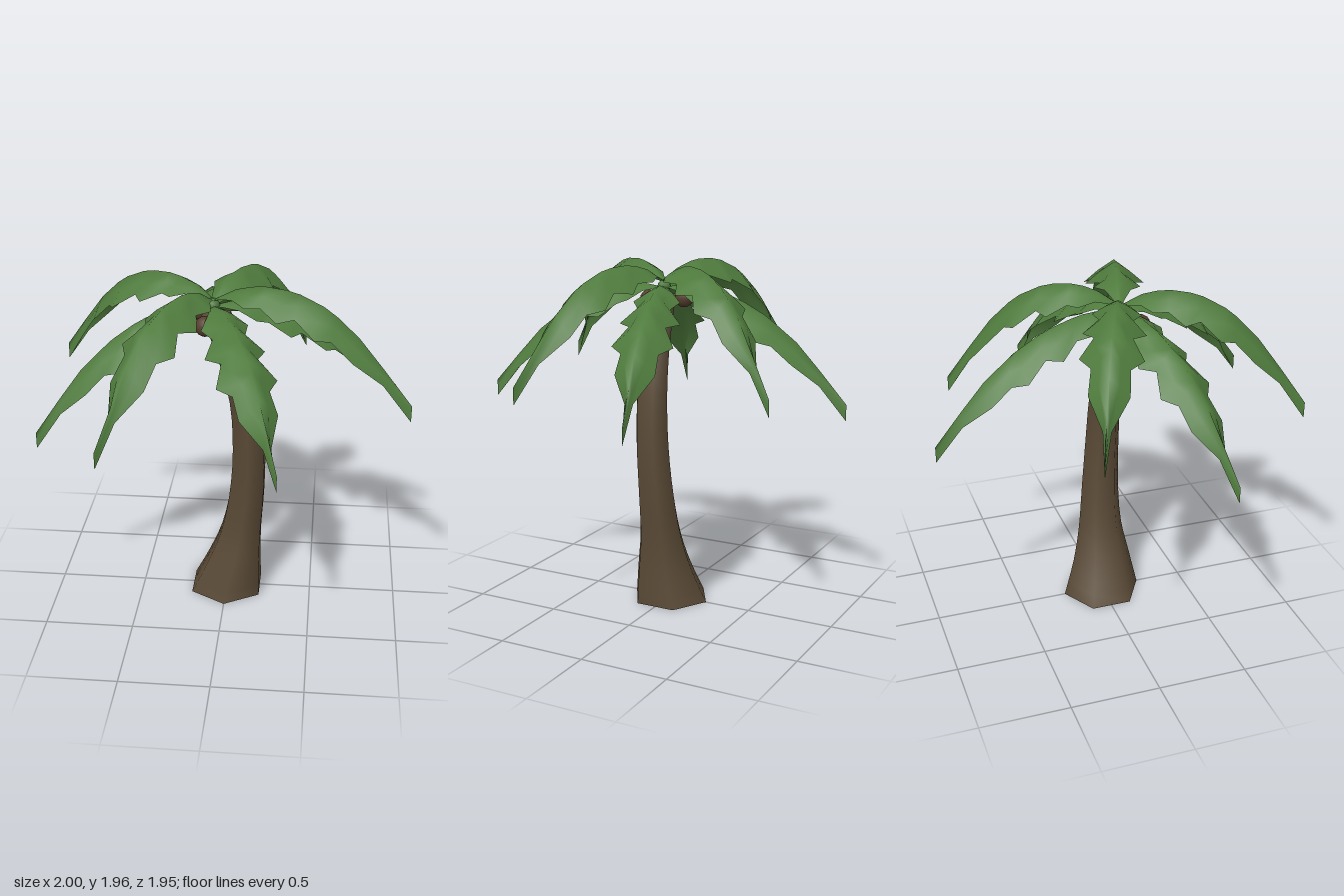
import * as THREE from 'three';

const bark = new THREE.MeshStandardMaterial({ color: 0x5a4a36 });
bark.name = 'bark brown';
const husk = new THREE.MeshStandardMaterial({ color: 0x573f30 });
husk.name = 'coconut brown';
const leaf = new THREE.MeshStandardMaterial({ color: 0x4f7b3d, side: THREE.DoubleSide });
leaf.name = 'frond green';

const CROWN = { x: -0.07, z: 0.08 };

// Smooth surface through rows of points; wrap closes each row into a ring
function loft(rows, wrap) {
  const n = rows[0].length;
  const index = [];
  for (let i = 0; i < rows.length - 1; i++) {
    for (let j = 0; j < (wrap ? n : n - 1); j++) {
      const k = (j + 1) % n;
      const a = i * n + j, b = i * n + k, c = a + n, d = b + n;
      index.push(a, b, c, b, d, c);
    }
  }
  const geo = new THREE.BufferGeometry();
  geo.setAttribute('position', new THREE.Float32BufferAttribute(rows.flat(2), 3));
  geo.setIndex(index);
  geo.computeVertexNormals();
  return geo;
}

function add(parent, name, geo, mat) {
  const mesh = new THREE.Mesh(geo, mat);
  mesh.name = name;
  parent.add(mesh);
  return mesh;
}

// Six-sided leaning trunk: height, centre x, centre z, radius
const TRUNK = [
  [0, 0, 0, 0.23], [0.2, 0.045, 0.017, 0.175], [0.4, 0.085, 0.022, 0.133],
  [0.65, 0.118, 0.033, 0.113], [0.95, 0.13, 0.05, 0.102], [1.25, 0.108, 0.062, 0.095],
  [1.5, 0.045, 0.075, 0.09], [1.77, -0.05, 0.082, 0.086],
];

function buildTrunk(root) {
  const centre = new THREE.CatmullRomCurve3(TRUNK.map(([y, x, z]) => new THREE.Vector3(x, y, z)));
  const radius = new THREE.CatmullRomCurve3(TRUNK.map(([y, , , r]) => new THREE.Vector3(r, y, 0)));
  const rows = [];
  for (let i = 0; i <= 21; i++) {
    const p = centre.getPoint(i / 21);
    const r = radius.getPoint(i / 21).x;
    rows.push(Array.from({ length: 6 }, (_, j) => {
      const a = (j * Math.PI) / 3;
      return [p.x + r * Math.sin(a), p.y, p.z + r * Math.cos(a)];
    }));
  }
  add(root, 'trunk', loft(rows, true), bark);
  const base = add(root, 'trunkBase', new THREE.CircleGeometry(0.23, 6, Math.PI / 2), bark);
  base.rotation.x = Math.PI / 2;
  const top = add(root, 'trunkTop', new THREE.CircleGeometry(0.086, 6, Math.PI / 2), bark);
  top.rotation.x = -Math.PI / 2;
  top.position.set(-0.05, 1.77, 0.082);
}

// Frond stations: fraction of reach, half width, ridge height when arched, when drooping
const STATIONS = [
  [0, 0.012, 1.84, 1.8], [0.04, 0.03, 1.87, 1.82], [0.12, 0.07, 1.92, 1.835],
  [0.2, 0.13, 1.945, 1.83], [0.27, 0.09, 1.955, 1.815], [0.37, 0.165, 1.95, 1.785],
  [0.44, 0.1, 1.935, 1.755], [0.555, 0.165, 1.885, 1.69], [0.62, 0.1, 1.84, 1.64],
  [0.73, 0.105, 1.74, 1.55], [0.86, 0.022, 1.58, 1.4], [1, 0, 1.4, 1.23],
];

// Folded leaf with a toothed edge, closing to a hanging fin at the tip
function frondGeometry(tipX, tipY, tipZ, arched) {
  const dx = tipX - CROWN.x, dz = tipZ - CROWN.z;
  const len = Math.hypot(dx, dz);
  const sx = -dz / len, sz = dx / len;
  const shift = tipY + 0.09 - (arched ? 1.4 : 1.23);
  const rows = STATIONS.map(([h, w, high, low]) => {
    const y = (arched ? high : low) + shift * h * h;
    const drop = h === 1 ? 0.09 : (0.07 + 0.35 * w) * Math.min(1, h / 0.3);
    return [-1, -0.5, 0, 0.5, 1].map((s) => [
      CROWN.x + dx * h + sx * w * s,
      y - drop * Math.pow(Math.abs(s), 1.2),
      CROWN.z + dz * h + sz * w * s,
    ]);
  });
  return loft(rows, false);
}

// Frond tips, alternately drooping and arched
const TIPS = [
  [-0.18, 1.13, -0.98], [0.42, 1.25, -0.78], [0.95, 1.16, -0.23], [1, 1.31, 0.375],
  [0.33, 1.18, 0.96], [-0.565, 1.27, 0.97], [-1, 1.08, 0.405], [-0.955, 1.32, -0.3],
];

export function createModel() {
  const root = new THREE.Group();
  root.name = 'palmTree';
  buildTrunk(root);

  const fronds = new THREE.Group();
  fronds.name = 'fronds';
  root.add(fronds);
  TIPS.forEach(([x, y, z], i) => {
    add(fronds, `frond${i + 1}`, frondGeometry(x, y, z, i % 2 === 1), leaf);
  });

  // Bud where the fronds meet
  const bud = add(root, 'bud', new THREE.SphereGeometry(0.04, 8, 6), leaf);
  bud.position.set(CROWN.x, 1.815, CROWN.z);

  // Coconuts under the crown
  [[-0.14, 1.75, -0.01], [-0.1, 1.735, 0.19]].forEach(([x, y, z], i) => {
    const nut = add(root, `coconut${i + 1}`, new THREE.SphereGeometry(0.055, 12, 8), husk);
    nut.position.set(x, y, z);
  });
  return root;
}
